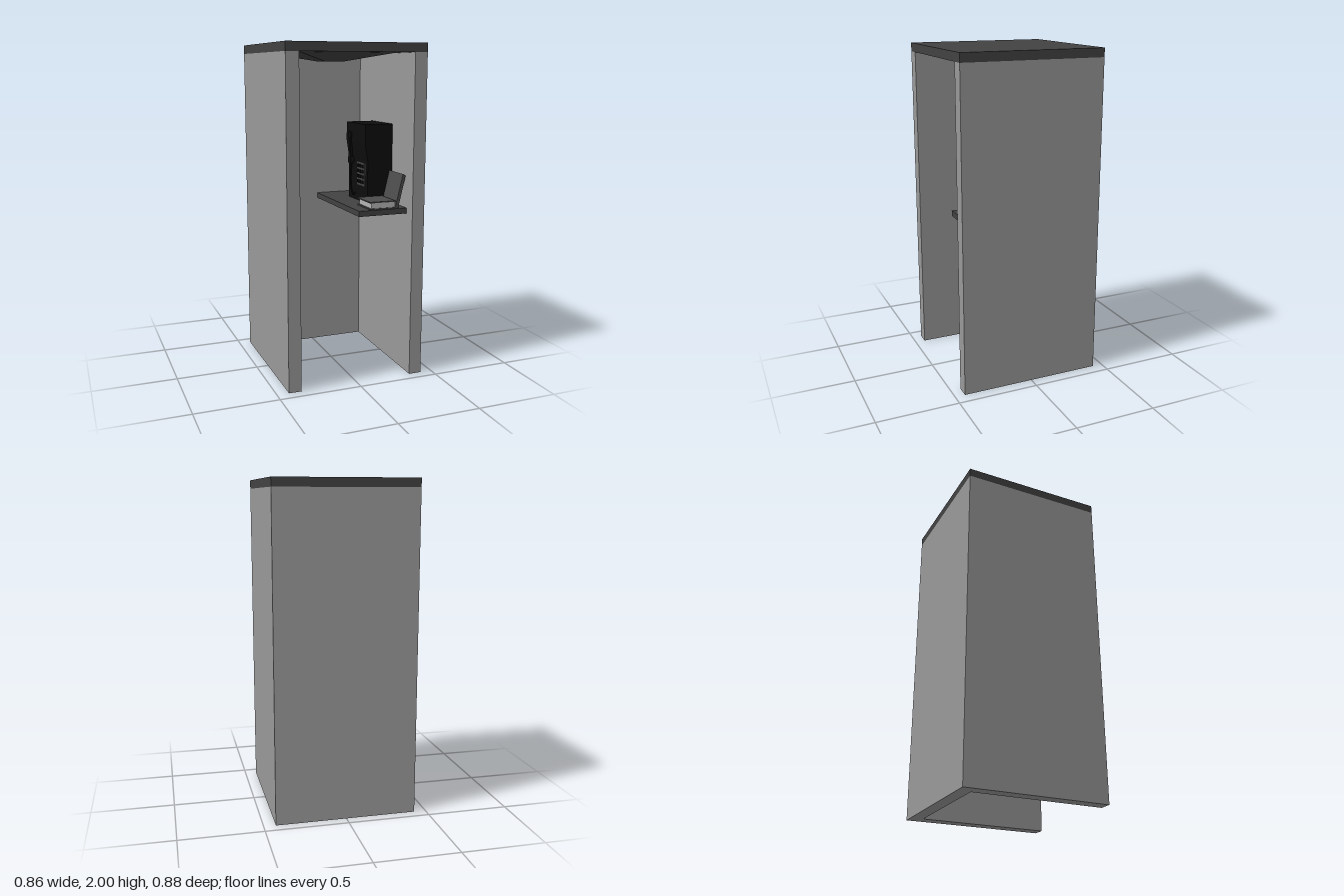
import * as THREE from 'three';

const mat = (name, color) => {
  const m = new THREE.MeshStandardMaterial({ color });
  m.name = name;
  return m;
};

export function createModel() {
  const model = new THREE.Group();
  model.name = 'phoneBooth';
  const wallGrey = mat('wall grey', 0x999999);
  const darkGrey = mat('dark grey', 0x424242);
  const black = mat('phone black', 0x0d0d0d);
  const paper = mat('paper grey', 0xb4b4b4);
  const cover = mat('book cover grey', 0x4c4c4c);

  const add = (name, geometry, material, parent = model) => {
    const mesh = new THREE.Mesh(geometry, material);
    mesh.name = name;
    parent.add(mesh);
    return mesh;
  };
  // Box given by its two extreme corners
  const box = (name, material, [x0, y0, z0], [x1, y1, z1], parent) => {
    const mesh = add(name, new THREE.BoxGeometry(x1 - x0, y1 - y0, z1 - z0), material, parent);
    mesh.position.set((x0 + x1) / 2, (y0 + y1) / 2, (z0 + z1) / 2);
    return mesh;
  };
  // Profile in x and y, swept along z
  const prism = (name, material, points, z0, z1, parent) => {
    const shape = new THREE.Shape(points.map(([x, y]) => new THREE.Vector2(x, y)));
    const geometry = new THREE.ExtrudeGeometry(shape, { depth: z1 - z0, bevelEnabled: false });
    geometry.translate(0, 0, z0);
    return add(name, geometry, material, parent);
  };

  // U-shaped walls, open to the front and below
  const X = 0.428, Z = 0.438, IN = 0.35, TOP = 1.947;
  const plan = new THREE.Shape([
    [-X, -Z], [-IN, -Z], [-IN, Z - 0.078], [IN, Z - 0.078],
    [IN, -Z], [X, -Z], [X, Z], [-X, Z],
  ].map(([x, y]) => new THREE.Vector2(x, y)));
  const walls = new THREE.ExtrudeGeometry(plan, { depth: TOP, bevelEnabled: false });
  walls.rotateX(-Math.PI / 2);
  add('walls', walls, wallGrey);

  // Roof slab and tapered ceiling lamp
  box('roof', darkGrey, [-X, TOP, -Z], [X, 2, Z]);
  const lamp = new THREE.CylinderGeometry(0.3 * Math.SQRT2, 0.06 * Math.SQRT2, 0.05, 4, 1).toNonIndexed();
  lamp.rotateY(Math.PI / 4);
  lamp.computeVertexNormals();
  add('ceilingLamp', lamp, darkGrey).position.y = TOP - 0.025;

  // Telephone on the left wall
  const phone = new THREE.Group();
  phone.name = 'telephone';
  model.add(phone);
  prism('phoneBody', black, [
    [IN, 0.97], [IN, 1.52], [0.168, 1.52], [0.168, 1.4], [0.186, 1.29], [0.186, 0.97],
  ], -0.15, 0.15, phone);
  box('keypadPlate', darkGrey, [0.178, 1.13, -0.01], [0.187, 1.28, 0.12], phone);
  for (let row = 0; row < 4; row++) {
    for (let col = 0; col < 3; col++) {
      const y = 1.147 + row * 0.033, z = 0.008 + col * 0.036;
      box('key', black, [0.174, y, z], [0.18, y + 0.02, z + 0.022], phone);
    }
  }

  // Handset: two caps joined by a grip, with a cord
  for (const y of [1.28, 1.44]) {
    const cap = add('handsetCap', new THREE.CylinderGeometry(0.025, 0.025, 0.025, 16), black, phone);
    cap.rotation.z = Math.PI / 2;
    cap.position.set(0.172, y, -0.085);
  }
  box('handsetGrip', black, [0.162, 1.28, -0.1], [0.176, 1.44, -0.07], phone);
  const cord = new THREE.CatmullRomCurve3([
    [0.175, 1.26, -0.085], [0.176, 1.14, -0.1], [0.176, 1.06, -0.06], [0.188, 1.08, -0.03],
  ].map(p => new THREE.Vector3(...p)));
  add('handsetCord', new THREE.TubeGeometry(cord, 24, 0.005, 6), black, phone);

  // Shelf under the telephone
  box('shelf', darkGrey, [0.04, 0.996, -0.36], [IN, 1.03, 0.36]);

  // Directory lying open, its cover leaning on the wall
  const book = new THREE.Group();
  book.name = 'directory';
  model.add(book);
  box('bottomCover', cover, [0.115, 1.03, 0.16], [0.3, 1.037, 0.35], book);
  box('pages', paper, [0.125, 1.037, 0.165], [0.28, 1.07, 0.345], book);
  box('topSheet', cover, [0.115, 1.07, 0.16], [0.28, 1.077, 0.35], book);
  prism('leaningCover', cover, [[0.28, 1.035], [0.3, 1.035], [0.345, 1.225], [0.328, 1.235]], 0.16, 0.35, book);

  return model;
}
